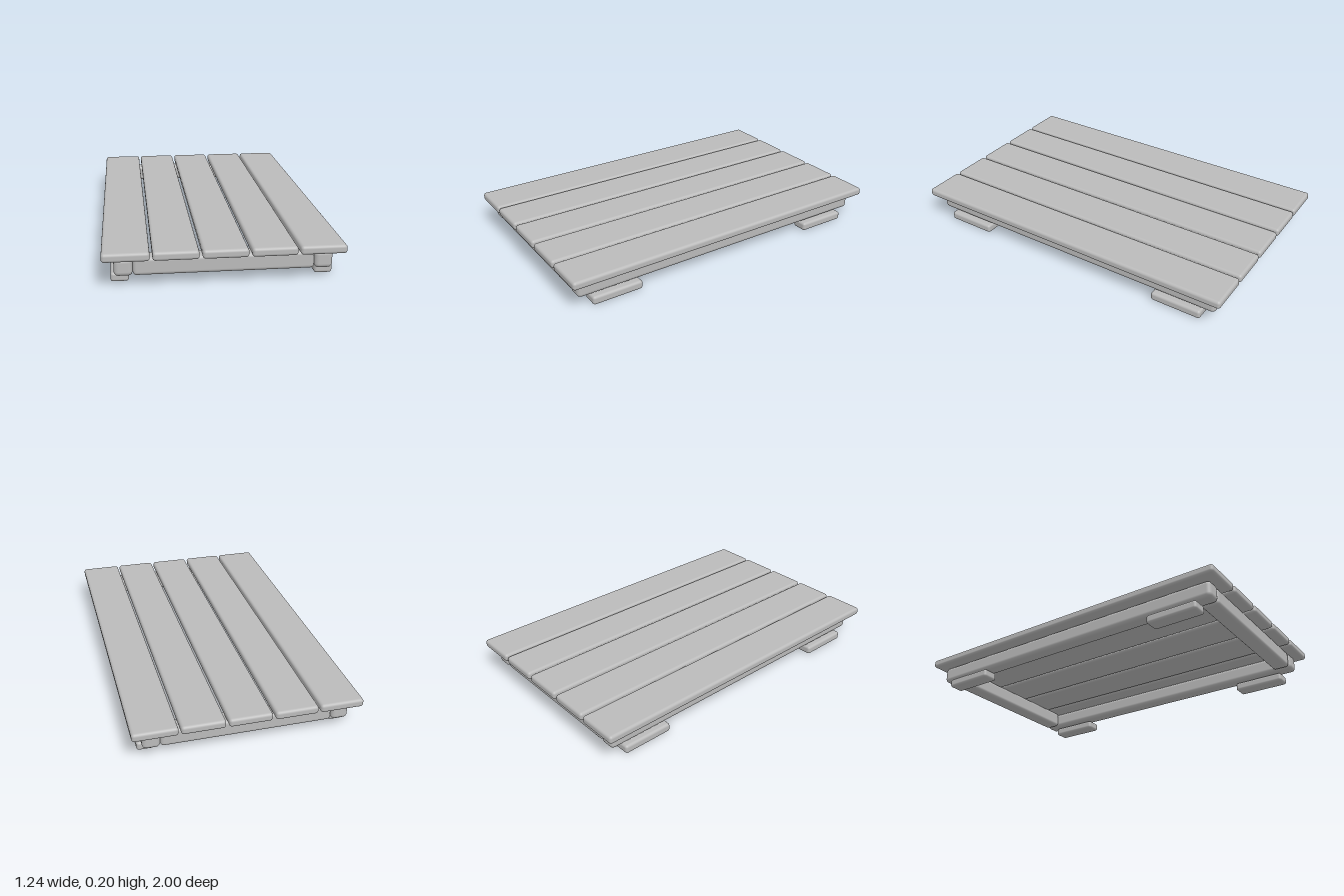
import * as THREE from 'three';
import { RoundedBoxGeometry } from 'three/addons/geometries/RoundedBoxGeometry.js';

const wood = new THREE.MeshStandardMaterial({ color: 0xbababa });
wood.name = 'plain grey';

// A softly rounded plank, placed by its centre
function plank(name, size, position, radius) {
  const mesh = new THREE.Mesh(new RoundedBoxGeometry(...size, 4, radius), wood);
  mesh.name = name;
  mesh.position.set(...position);
  return mesh;
}

export function createModel() {
  const model = new THREE.Group();
  model.name = 'slattedPlatform';

  // Five top slats running front to back
  for (let i = -2; i <= 2; i++) {
    const width = Math.abs(i) === 2 ? 0.24 : 0.234;
    model.add(plank('topSlat', [width, 0.047, 2], [i * 0.25, 0.1765, 0], 0.016));
  }

  for (const s of [-1, 1]) {
    // Long side rails
    model.add(plank('sideRail', [0.095, 0.095, 1.9], [s * 0.513, 0.105, 0], 0.024));
    // Cross beams between the rails at front and back
    model.add(plank('crossBeam', [0.93, 0.095, 0.1], [0, 0.105, s * 0.895], 0.02));
    // Feet under the rail ends
    for (const e of [-1, 1]) {
      model.add(plank('foot', [0.095, 0.05, 0.3], [s * 0.532, 0.025, e * 0.725], 0.015));
    }
  }
  return model;
}
